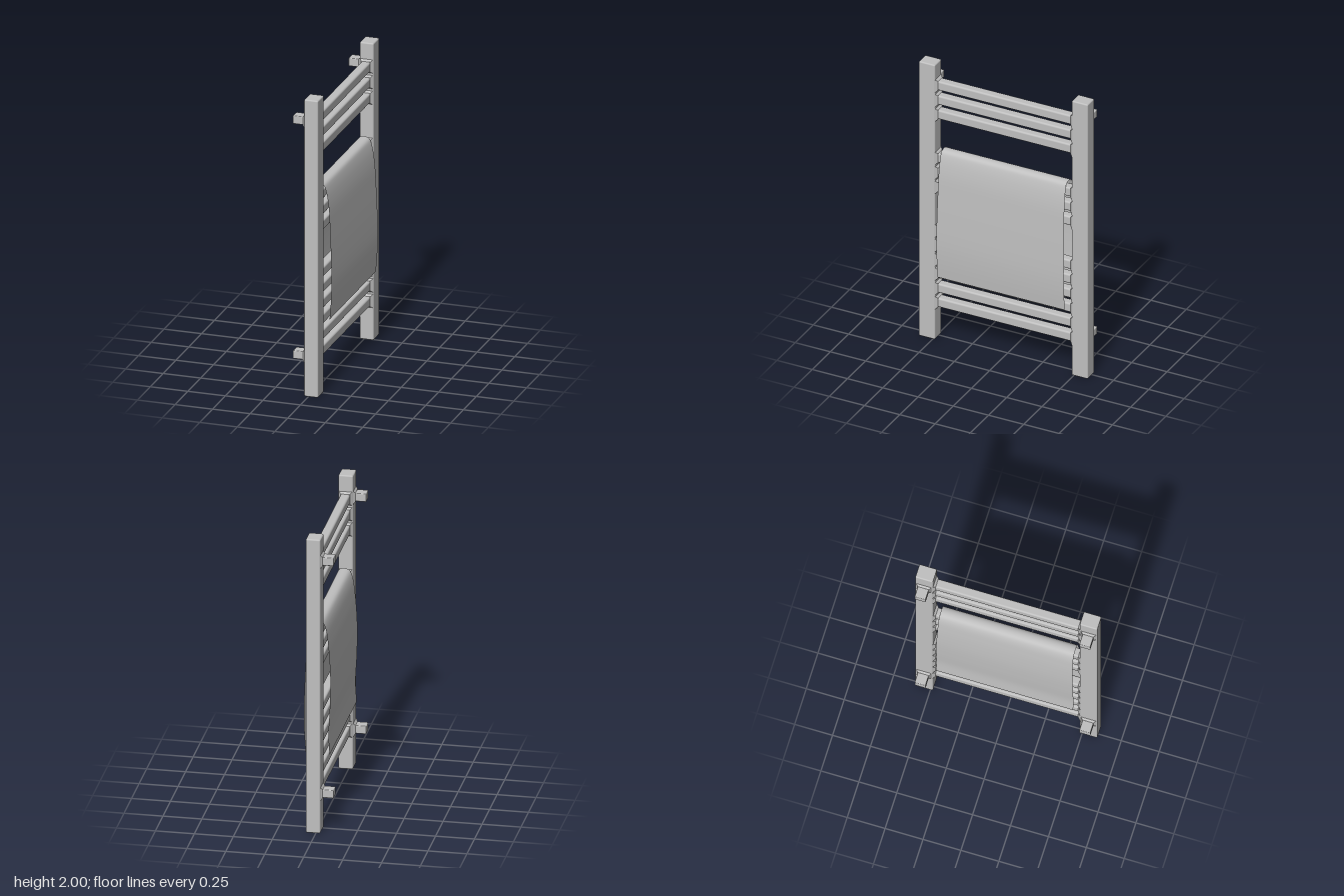
import * as THREE from 'three';
import { RoundedBoxGeometry } from 'three/addons/geometries/RoundedBoxGeometry.js';

const CENTRE_X = 0.018; // centre line of posts and bars
const POST_Z = 0.543;

export function createModel() {
  const model = new THREE.Group();
  model.name = 'towelRadiator';

  const metal = new THREE.MeshStandardMaterial({ color: 0xc0c0c0 });
  metal.name = 'greyMetal';
  metal.side = THREE.DoubleSide;

  const add = (name, geometry, x, y, z) => {
    const mesh = new THREE.Mesh(geometry, metal);
    mesh.name = name;
    mesh.position.set(x, y, z);
    model.add(mesh);
    return mesh;
  };

  // Tapered collar: w0 x h0 at z = 0, narrowing to w1 x h1 at z = depth
  const collarGeometry = (w0, h0, w1, h1, depth) => {
    const box = new THREE.BoxGeometry(1, 1, depth);
    box.translate(0, 0, depth / 2);
    const p = box.attributes.position;
    for (let i = 0; i < p.count; i++) {
      const wide = p.getZ(i) < depth / 2;
      p.setXY(i, p.getX(i) * (wide ? w0 : w1), p.getY(i) * (wide ? h0 : h1));
    }
    box.computeVertexNormals();
    return box;
  };

  const postGeo = new RoundedBoxGeometry(0.094, 2, 0.116, 2, 0.009);
  const barGeo = new RoundedBoxGeometry(0.06, 0.066, 1.0, 2, 0.012);
  const barCollarGeo = collarGeometry(0.088, 0.094, 0.06, 0.066, 0.016);
  const mountGeo = new RoundedBoxGeometry(0.09, 0.055, 0.072, 2, 0.006);
  const mountCollarGeo = collarGeometry(0.1, 0.09, 0.074, 0.057, 0.013);

  // Upright posts with wall mounts
  for (const side of [-1, 1]) {
    add('post', postGeo, CENTRE_X, 1, side * 0.542);
    for (const y of [0.265, 1.847]) {
      add('wallMount', mountGeo, -0.065, y, side * POST_Z);
      add('mountCollar', mountCollarGeo, -0.028, y, side * POST_Z).rotation.y = -Math.PI / 2;
    }
  }

  // Four groups of three horizontal bars, collared where they meet the posts
  for (const top of [1.845, 1.318, 0.79, 0.475]) {
    for (let i = 0; i < 3; i++) {
      const y = top - i * 0.105;
      add('bar', barGeo, CENTRE_X, y, 0);
      add('barCollar', barCollarGeo, CENTRE_X, y, -0.486);
      add('barCollar', barCollarGeo, CENTRE_X, y, 0.486).rotation.y = Math.PI;
    }
  }

  // Towel: a thin sheet draped over the second group of bars
  const profile = new THREE.CatmullRomCurve3([
    [-0.06, 0.48], [-0.053, 0.62], [-0.061, 0.78], [-0.065, 0.97], [-0.06, 1.11],
    [-0.05, 1.23], [-0.034, 1.335], [-0.014, 1.376], [0.018, 1.386], [0.05, 1.376],
    [0.066, 1.34], [0.085, 1.23], [0.094, 1.08], [0.1, 0.94], [0.105, 0.73],
    [0.101, 0.6], [0.092, 0.48],
  ].map(([x, y]) => new THREE.Vector3(x, y, 0)));
  const steps = 64;
  const towelGeo = new THREE.PlaneGeometry(1, 1, steps, 1);
  const p = towelGeo.attributes.position;
  for (let i = 0; i < p.count; i++) {
    const point = profile.getPoint(p.getX(i) + 0.5);
    // The hanging ends flare slightly wider than the fold
    const halfWidth = 0.443 + 0.008 * Math.min(1, (1.386 - point.y) / 0.5);
    p.setXYZ(i, point.x, point.y, p.getY(i) > 0 ? -halfWidth : halfWidth);
  }
  towelGeo.computeVertexNormals();
  add('towel', towelGeo, 0, 0, 0);

  return model;
}
